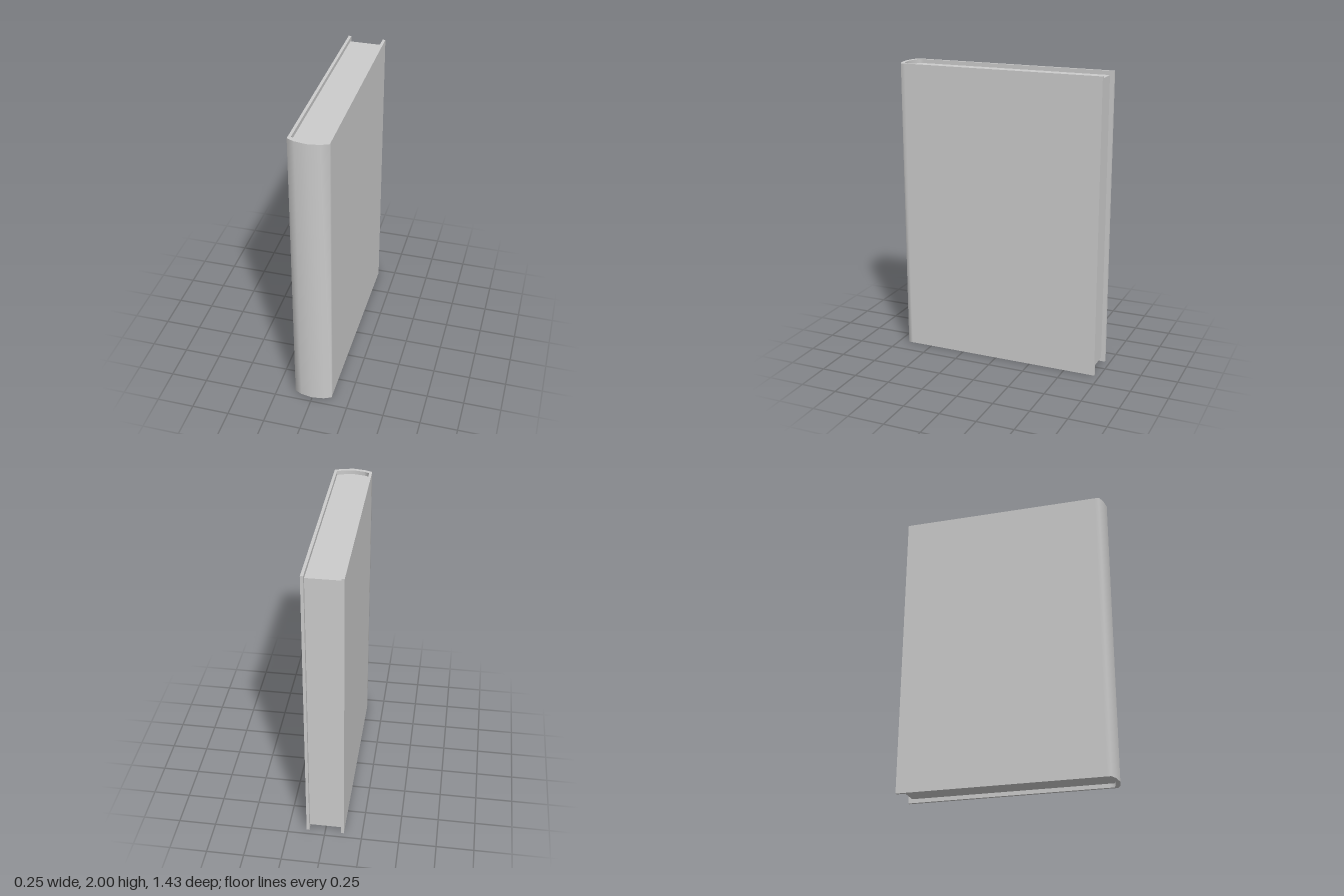
import * as THREE from 'three';
import { toCreasedNormals } from 'three/addons/utils/BufferGeometryUtils.js';

const HEIGHT = 2;
const BACK = -0.714;      // free edge of the boards
const INSET = 0.027;      // how far the pages sit inside the cover
const CREASE = 1.25;      // spine blends into the boards, cut edges stay sharp

// Half outlines in plan as [x, z], from the free edge round to the spine centre
const outerHalf = [[0.127, BACK], [0.127, 0.65], [0.127, 0.68], [0.078, 0.702], [0, 0.714]];
const innerHalf = [[0.108, BACK], [0.108, 0.635], [0.108, 0.66], [0.075, 0.674], [0, 0.688]];

// Mirror a half outline to run from the +x free edge to the -x free edge
function mirrored(half) {
  const other = half.slice(0, -1).reverse().map(([x, z]) => [-x, z]);
  return [...half, ...other];
}

// Extrude a plan outline upwards
function prism(name, outline, bottom, height, material) {
  const shape = new THREE.Shape(outline.map(([x, z]) => new THREE.Vector2(x, -z)));
  const geometry = new THREE.ExtrudeGeometry(shape, { depth: height, bevelEnabled: false });
  geometry.rotateX(-Math.PI / 2);
  geometry.translate(0, bottom, 0);
  const mesh = new THREE.Mesh(toCreasedNormals(geometry, CREASE), material);
  mesh.name = name;
  return mesh;
}

export function createModel() {
  const group = new THREE.Group();
  group.name = 'book';
  const material = new THREE.MeshStandardMaterial({ color: 0xcccccc });

  // Cover: two boards joined by a rounded spine
  const coverOutline = [...mirrored(outerHalf), ...mirrored(innerHalf).reverse()];
  group.add(prism('cover', coverOutline, 0, HEIGHT, material));

  // Page block: fills the cover, set in at top, bottom and fore edge
  const pageHalf = innerHalf.map(([x, z]) => [x, Math.max(z, BACK + INSET)]);
  group.add(prism('pages', mirrored(pageHalf), INSET, HEIGHT - 2 * INSET, material));

  return group;
}
